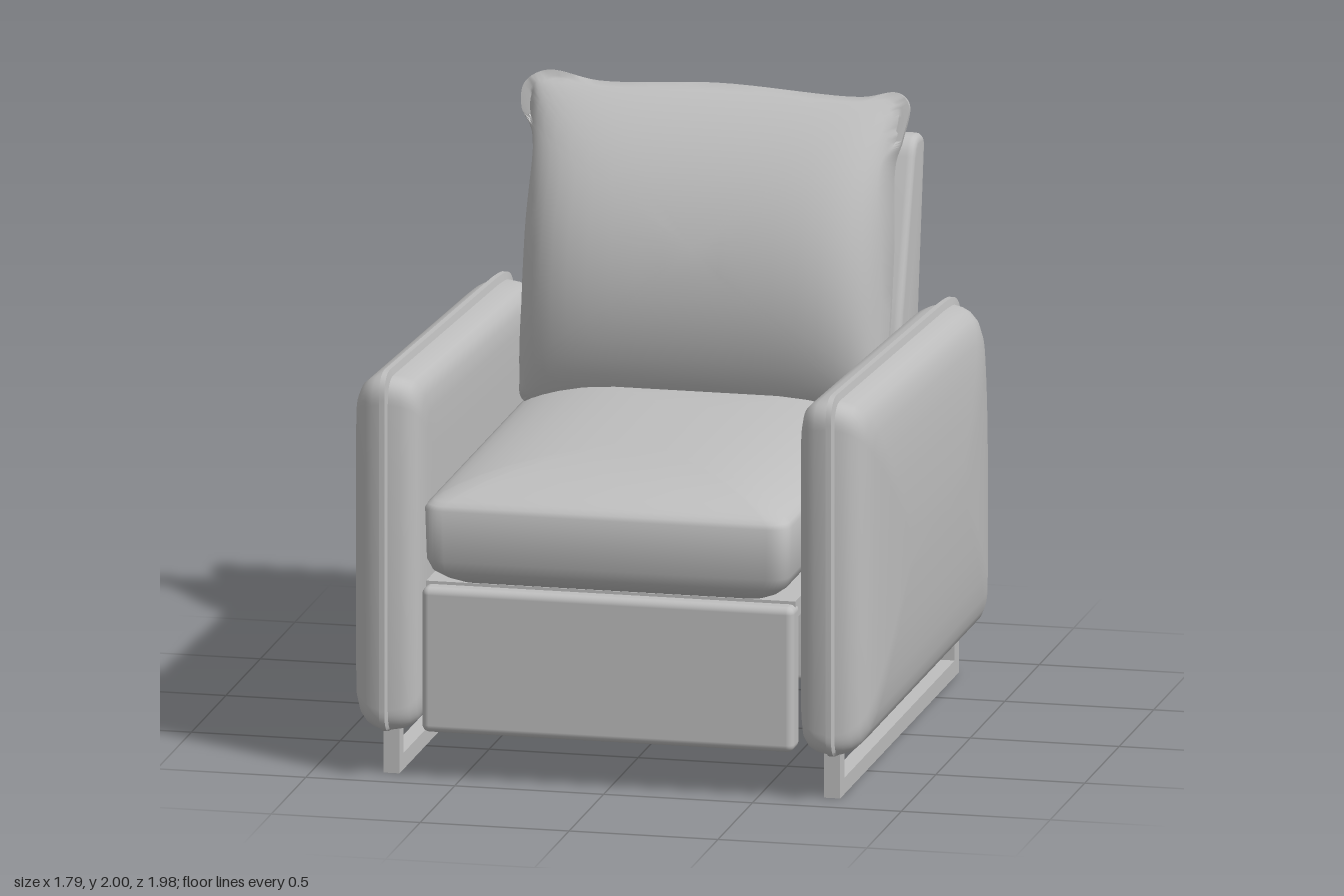
import * as THREE from 'three';
import { toCreasedNormals } from 'three/addons/utils/BufferGeometryUtils.js';
import { RoundedBoxGeometry } from 'three/addons/geometries/RoundedBoxGeometry.js';

// Polygon with rounded corners; each corner is [x, y, radius], counter-clockwise
function roundedOutline(corners, steps = 8) {
  const out = [];
  corners.forEach(([x, y, r], i) => {
    const p = new THREE.Vector2(x, y);
    const toward = (q) => new THREE.Vector2(q[0], q[1]).sub(p).setLength(r).add(p);
    const a = toward(corners[(i + corners.length - 1) % corners.length]);
    const b = toward(corners[(i + 1) % corners.length]);
    out.push(...new THREE.QuadraticBezierCurve(a, p, b).getPoints(steps));
  });
  return out;
}

// Stuffed surface: height above a base, falling off toward the half sizes [hx, hy]
const bulge = (base, depth, [hx, hy], [px, py], e) => (x, y) => base + depth
  * Math.max(0, 1 - Math.abs(x / hx) ** px) ** 0.5 * Math.max(0, 1 - Math.abs(y / hy) ** py) ** e;

// Stacks inset copies of an outline along z; rings are [z or bulge, insetX, insetY, insetBottom]
function loft(outline, rings) {
  const box = new THREE.Box2().setFromPoints(outline);
  const c = box.getCenter(new THREE.Vector2());
  const h = box.getSize(new THREE.Vector2()).multiplyScalar(0.5);
  const n = outline.length, pos = [], idx = [];
  const place = (z, x, y) => pos.push(c.x + x, c.y + y, typeof z === 'number' ? z : z(x, y));
  for (const [z, ix, iy = ix, ib = iy] of rings) {
    for (const p of outline) {
      const dy = p.y - c.y;
      place(z, (p.x - c.x) * (1 - ix / h.x), dy * (1 - (dy < 0 ? ib : iy) / h.y));
    }
  }
  const last = rings.length - 1, lowCap = n * rings.length;
  place(rings[0][0], 0, 0);
  place(rings[last][0], 0, 0);
  for (let j = 0; j < n; j++) {
    const k = (j + 1) % n;
    for (let i = 0; i < last; i++) {
      const a = i * n + j, b = i * n + k;
      idx.push(a, b, b + n, a, b + n, a + n);
    }
    idx.push(lowCap, k, j, lowCap + 1, last * n + j, last * n + k);
  }
  const geo = new THREE.BufferGeometry();
  geo.setAttribute('position', new THREE.Float32BufferAttribute(pos, 3));
  geo.setIndex(idx);
  return toCreasedNormals(geo, 0.9);
}

// Extrudes a (z, y) profile along x, centred on x = 0
function extrudeAcross(points, width, bevel) {
  const geo = new THREE.ExtrudeGeometry(new THREE.Shape(points), {
    depth: width - 2 * bevel, bevelEnabled: bevel > 0, bevelSize: bevel,
    bevelThickness: bevel, bevelOffset: -bevel, bevelSegments: 4,
  });
  geo.translate(0, 0, -(width - 2 * bevel) / 2).rotateY(-Math.PI / 2);
  return toCreasedNormals(geo, 0.7);
}

export function createModel() {
  const grey = new THREE.MeshStandardMaterial({ color: 0xbebebe });
  grey.name = 'grey upholstery';
  const chair = new THREE.Group();
  chair.name = 'armchair';
  const add = (name, geo, x = 0, y = 0, z = 0) => {
    const mesh = new THREE.Mesh(geo, grey);
    mesh.name = name;
    mesh.position.set(x, y, z);
    chair.add(mesh);
    return mesh;
  };

  // Padded arms, bulging outward, with a raised seam that fades out underneath
  const armOutline = roundedOutline([
    [-0.98, 0.15, 0.08], [0.965, 0.15, 0.08], [0.965, 0.95, 0.2],
    [0.9, 1.265, 0.12], [0.7, 1.29, 0.08], [-0.98, 1.37, 0.09],
  ]);
  const armRings = [
    [0.63, 0.3], [0.631, 0.16], [0.636, 0.1], [0.648, 0.065], [0.668, 0.043], [0.695, 0.03],
    [0.735, 0.024], [0.741, 0], [0.759, 0], [0.765, 0.024], [0.79, 0.03], [0.815, 0.042],
    [0.84, 0.065], [0.858, 0.1], [0.87, 0.15], [0.881, 0.23], [0.891, 0.36], [0.897, 0.55],
  ].map(([d, inset]) => [d, inset, inset, Math.max(0, inset - 0.024)]);
  const mirrored = armRings.map(([d, ...insets]) => [-d, ...insets]).reverse();
  add('leftArm', loft(armOutline, armRings).rotateY(Math.PI / 2));
  add('rightArm', loft(armOutline, mirrored).rotateY(Math.PI / 2));

  // Leaning backrest, joined to the solid rear base
  const backProfile = roundedOutline([
    [-0.92, 0.16, 0.02], [0.0, 0.16, 0.02], [0.0, 0.64, 0.02], [-0.5, 0.66, 0.05],
    [-0.63, 1.2, 0.1], [-0.85, 1.8, 0.07], [-1.0, 1.78, 0.06],
    [-0.905, 1.2, 0.1], [-0.88, 0.98, 0.1],
  ], 6);
  add('backrest', extrudeAcross(backProfile, 1.24, 0.025));

  // Front panel and the deck under the seat
  add('frontPanel', new RoundedBoxGeometry(1.25, 0.49, 0.1, 4, 0.025), 0, 0.405, 0.9);
  add('seatDeck', new THREE.BoxGeometry(1.24, 0.06, 0.95), 0, 0.63, 0.42);

  // Crowned seat cushion with an undercut lower edge
  const seatOutline = roundedOutline([
    [-0.615, -0.99, 0.07], [0.615, -0.99, 0.07], [0.615, 0.65, 0.07], [-0.615, 0.65, 0.07],
  ]);
  const seatCrown = bulge(0.92, 0.12, [0.615, 0.82], [3, 5], 0.5);
  const seatRings = [
    [0.655, 0.11], [0.68, 0.06], [0.71, 0.022], [0.75, 0.005], [0.92, 0],
    ...[0.008, 0.025, 0.05, 0.09, 0.15, 0.23, 0.33, 0.45, 0.55].map((t) => [seatCrown, t]),
  ];
  add('seatCushion', loft(seatOutline, seatRings).rotateX(-Math.PI / 2));

  // Loose back pillow with a thin wavy flange and eared top corners
  const pillowPoints = [
    [-0.59, -0.54], [0, -0.545], [0.59, -0.54], [0.612, -0.45], [0.617, 0], [0.605, 0.3],
    [0.625, 0.38], [0.64, 0.5], [0.6, 0.535], [0.48, 0.515], [0, 0.535], [-0.4, 0.52],
    [-0.58, 0.545], [-0.65, 0.5], [-0.655, 0.42], [-0.615, 0.34], [-0.617, 0], [-0.61, -0.45],
  ].map(([x, y]) => new THREE.Vector3(x, y, 0));
  const pillowOutline = new THREE.CatmullRomCurve3(pillowPoints, true).getPoints(160).slice(0, -1)
    .map((p) => new THREE.Vector2(p.x, p.y));
  const shrink = [0.035, 0.05, 0.075, 0.11, 0.16, 0.23, 0.32, 0.43, 0.56, 0.7, 0.85];
  const side = (surface) => shrink.map((t) => [surface, t * 0.65, t * 0.54]);
  const pillowSize = [0.612, 0.53];
  const pillowRings = [
    ...side(bulge(-0.012, -0.165, pillowSize, [4, 4], 0.5)).reverse(),
    [-0.01, 0, 0], [0.01, 0, 0],
    ...side(bulge(0.012, 0.23, pillowSize, [6, 2], 0.8)),
  ];
  add('backPillow', loft(pillowOutline, pillowRings), 0, 1.47, -0.54).rotation.x = -0.26;

  // Sled legs: a flat rail turned up at both ends
  const legProfile = [
    [0.88, 0], [0.88, 0.2], [0.82, 0.2], [0.82, 0.055],
    [-0.78, 0.055], [-0.78, 0.2], [-0.84, 0.2], [-0.84, 0],
  ].map(([z, y]) => new THREE.Vector2(z, y));
  for (const s of [1, -1]) {
    add(s > 0 ? 'leftLeg' : 'rightLeg', extrudeAcross(legProfile, 0.054, 0), s * 0.74);
  }
  return chair;
}
